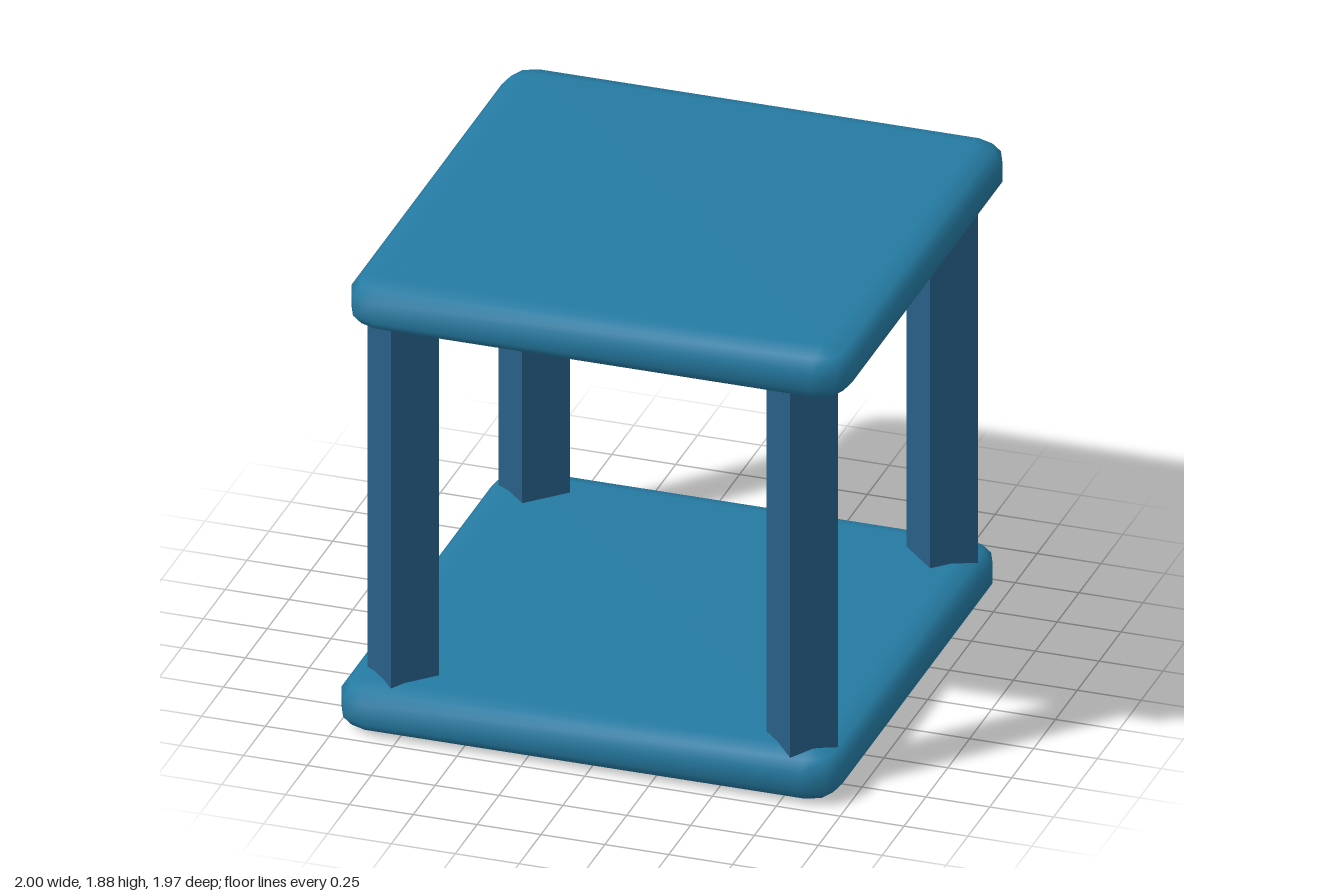
import * as THREE from 'three';

// Rounded slab built from stacked rounded-square rings; the underside may be left open
function slabGeometry(closedBottom) {
  const half = 0.98, r = 0.12, segs = 2;
  const profile = [[0.11, 0], [0.035, 0.02], [0, 0.06], [0, 0.14], [0.035, 0.18], [0.11, 0.2]]; // inset, y
  const pos = [], idx = [];
  for (const [inset, y] of profile) {
    for (let q = 0; q < 4; q++) {
      for (let s = 0; s <= segs; s++) {
        const a = (q + s / segs) * Math.PI / 2;
        const mid = (q + 0.5) * Math.PI / 2;
        pos.push(
          Math.sign(Math.cos(mid)) * (half - r) + Math.cos(a) * (r - inset), y,
          Math.sign(Math.sin(mid)) * (half - r) + Math.sin(a) * (r - inset));
      }
    }
  }
  const n = 4 * (segs + 1), last = (profile.length - 1) * n;
  for (let k = 0; k < profile.length - 1; k++) {
    for (let i = 0; i < n; i++) {
      const a = k * n + i, b = k * n + (i + 1) % n;
      idx.push(a, a + n, b, b, a + n, b + n);
    }
  }
  // Flat caps fanned from the centre
  const c = pos.length / 3;
  pos.push(0, 0.2, 0, 0, 0, 0);
  for (let i = 0; i < n; i++) {
    const j = (i + 1) % n;
    idx.push(c, last + j, last + i);
    if (closedBottom) idx.push(c + 1, i, j);
  }
  const g = new THREE.BufferGeometry();
  g.setAttribute('position', new THREE.Float32BufferAttribute(pos, 3));
  g.setIndex(idx);
  g.computeVertexNormals();
  return g;
}

export function createModel() {
  const group = new THREE.Group();
  const slabBlue = new THREE.MeshStandardMaterial({ color: 0x257ba3, side: THREE.DoubleSide });
  slabBlue.name = 'slab blue';
  const postBlue = new THREE.MeshStandardMaterial({ color: 0x285f88, side: THREE.DoubleSide, flatShading: true });
  postBlue.name = 'post blue';

  const add = (name, geometry, material, x, y, z) => {
    const mesh = new THREE.Mesh(geometry, material);
    mesh.name = name;
    mesh.position.set(x, y, z);
    group.add(mesh);
  };

  // Slabs, slightly offset from each other; the lower one is hollow underneath
  add('bottomSlab', slabGeometry(false), slabBlue, -0.02, 0, 0);
  add('topSlab', slabGeometry(true), slabBlue, 0.02, 1.68, 0.005);

  // Square open posts turned 45 degrees: name, x, z, top height
  const posts = [
    ['frontLeftPost', 0.785, 0.805, 1.71],
    ['frontRightPost', -0.79, 0.77, 1.68],
    ['backLeftPost', 0.79, -0.78, 1.7],
    ['backRightPost', -0.81, -0.79, 1.68],
  ];
  const bottom = 0.09;
  for (const [name, x, z, top] of posts) {
    const g = new THREE.CylinderGeometry(0.14, 0.14, top - bottom, 4, 1, true);
    add(name, g, postBlue, x, (top + bottom) / 2, z);
  }
  return group;
}
